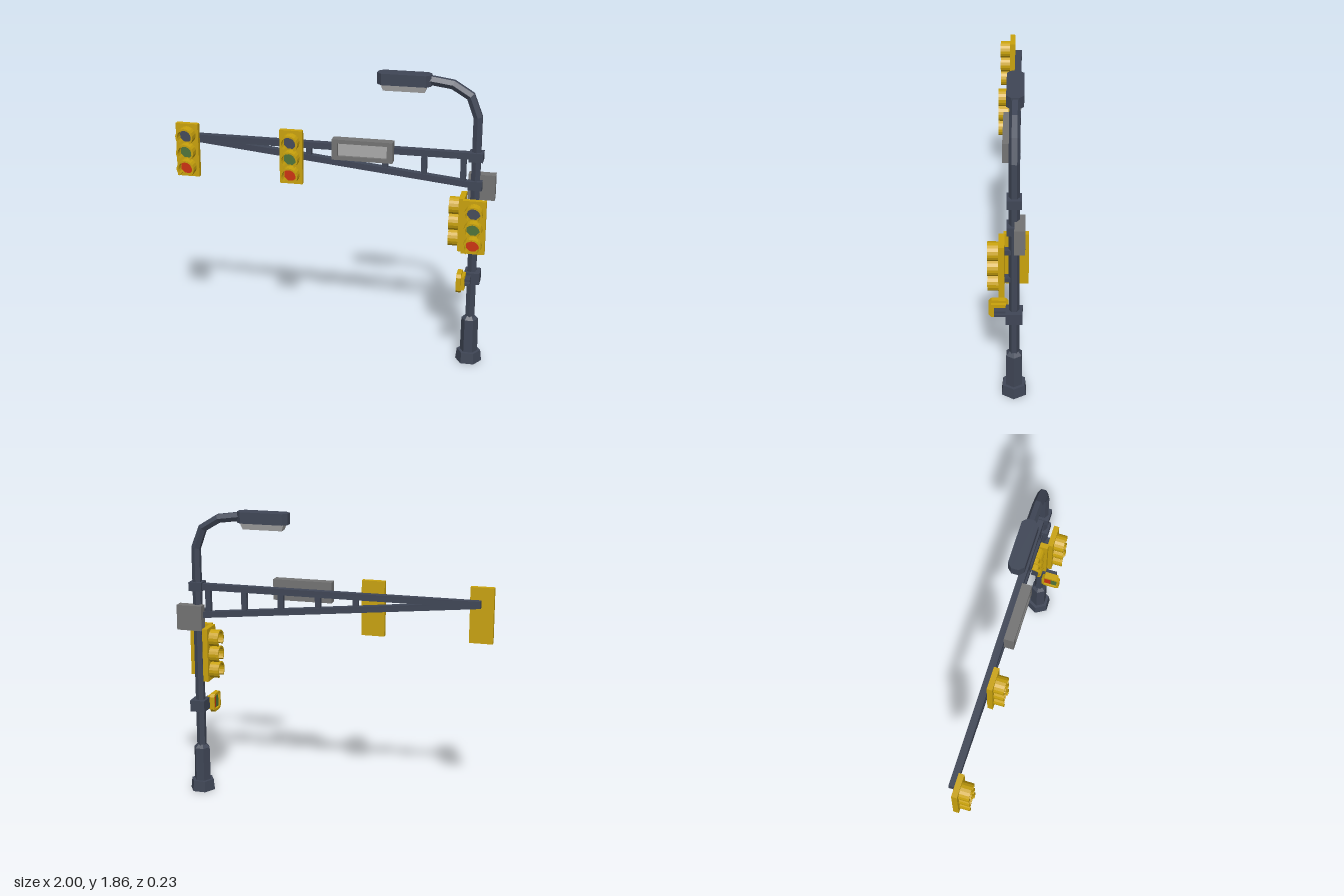
import * as THREE from 'three';

const mat = (color) => new THREE.MeshStandardMaterial({ color, flatShading: true });
const DARK = mat(0x3f4656), YELLOW = mat(0xc9a20c), GREY = mat(0x737373), PALE = mat(0xaaaaaa);
const RED = mat(0xcc3311), GREEN = mat(0x50743a), OFF = mat(0x454b5a);
const PX = 0.88, PZ = -0.035; // pole axis

function add(parent, name, geometry, material, x = 0, y = 0, z = 0) {
  const mesh = new THREE.Mesh(geometry, material);
  mesh.name = name;
  mesh.position.set(x, y, z);
  parent.add(mesh);
  return mesh;
}

// Box given by its limits on each axis
function box(parent, name, material, [x0, x1], [y0, y1], [z0, z1]) {
  return add(parent, name, new THREE.BoxGeometry(x1 - x0, y1 - y0, z1 - z0), material,
    (x0 + x1) / 2, (y0 + y1) / 2, (z0 + z1) / 2);
}

// Rectangle with cut corners, centred on the origin
function cutRect(w, h, c) {
  const a = w / 2, b = h / 2;
  return new THREE.Shape([[-a + c, -b], [a - c, -b], [a, -b + c], [a, b - c],
    [a - c, b], [-a + c, b], [-a, b - c], [-a, -b + c]].map(p => new THREE.Vector2(...p)));
}

const extrude = (shape, depth, curveSegments = 8) =>
  new THREE.ExtrudeGeometry(shape, { depth, bevelEnabled: false, curveSegments });

// Polyline that keeps its corners when swept
class CornerPath extends THREE.Curve {
  constructor(points) { super(); this.points = points; }
  getPointAt(t) { return this.points[Math.round(t * (this.points.length - 1))].clone(); }
  getPoint(t) { return this.getPointAt(t); }
  getTangentAt(t) {
    const p = this.points, i = Math.round(t * (p.length - 1)), sum = new THREE.Vector3();
    if (i > 0) sum.add(p[i].clone().sub(p[i - 1]).normalize());
    if (i < p.length - 1) sum.add(p[i + 1].clone().sub(p[i]).normalize());
    return sum.normalize();
  }
}

// Three-lamp signal facing +z, back of the housing at z = 0
function signalHead(name) {
  const g = new THREE.Group();
  g.name = name;
  box(g, 'housing', YELLOW, [-0.072, 0.072], [-0.172, 0.172], [0, 0.034]);
  const from = -0.27 * Math.PI, to = 1.27 * Math.PI;
  const hood = new THREE.Shape();
  hood.absarc(0, 0, 0.056, from, to, false);
  hood.absarc(0, 0, 0.045, to, from, true);
  const hoodGeo = extrude(hood, 0.064, 7);
  const lensGeo = new THREE.CylinderGeometry(0.043, 0.043, 0.012, 8).rotateX(Math.PI / 2).rotateZ(Math.PI / 8);
  const rimGeo = new THREE.CylinderGeometry(0.054, 0.054, 0.008, 8).rotateX(Math.PI / 2).rotateZ(Math.PI / 8);
  [OFF, GREEN, RED].forEach((m, i) => {
    const y = 0.1 - i * 0.104;
    add(g, 'lampRim', rimGeo, YELLOW, 0, y, 0.037);
    add(g, 'lens', lensGeo, m, 0, y, 0.041);
    add(g, 'visor', hoodGeo, YELLOW, 0, y, 0.033);
  });
  return g;
}

function createPole(root) {
  const hex = (rt, rb, h) => new THREE.CylinderGeometry(rt, rb, h, 6).rotateY(Math.PI / 2);
  add(root, 'poleFoot', hex(0.075, 0.083, 0.07), DARK, PX, 0.035, PZ);
  add(root, 'poleSleeve', hex(0.053, 0.055, 0.22), DARK, PX, 0.18, PZ);
  add(root, 'sleeveShoulder', hex(0.03, 0.053, 0.022), DARK, PX, 0.301, PZ);
  const path = [[PX, 0.28], [PX, 1.61], [0.832, 1.737], [0.725, 1.802], [0.58, 1.822]]
    .map(([x, y]) => new THREE.Vector3(x, y, PZ));
  add(root, 'pole', new THREE.TubeGeometry(new CornerPath(path), path.length - 1, 0.031, 6), DARK);
}

function createStreetLamp(root) {
  const g = new THREE.Group();
  g.name = 'streetLamp';
  g.position.set(0.433, 1.785, PZ);
  add(g, 'lampBody', extrude(cutRect(0.326, 0.1, 0.028), 0.07).rotateX(-Math.PI / 2), DARK);
  // Lens narrows towards its lower face
  const lens = new THREE.BoxGeometry(0.28, 0.04, 0.076);
  const p = lens.attributes.position;
  for (let i = 0; i < p.count; i++)
    if (p.getY(i) < 0) p.setXYZ(i, p.getX(i) * 0.9, p.getY(i), p.getZ(i) * 0.75);
  add(g, 'lampLens', lens, PALE, 0, -0.019, 0);
  root.add(g);
}

function createArm(root) {
  const z = -0.041, left = -0.925, topY = 1.366;
  const lowY = (x) => 1.362 + (x - left) * (1.18 - 1.362) / (PX - left);
  box(root, 'upperBeam', DARK, [left, PX], [topY - 0.02, topY + 0.02], [z - 0.022, z + 0.022]);
  const length = Math.hypot(PX - left, lowY(PX) - lowY(left));
  const beam = add(root, 'lowerBeam', new THREE.BoxGeometry(length, 0.038, 0.043), DARK,
    (left + PX) / 2, lowY((left + PX) / 2), z);
  beam.rotation.z = Math.atan2(lowY(PX) - lowY(left), PX - left);
  for (let i = 0; i < 5; i++) {
    const x = 0.803 - i * 0.24;
    box(root, 'strut', DARK, [x - 0.017, x + 0.017], [lowY(x), topY], [z - 0.016, z + 0.016]);
  }
  for (const y of [topY, 1.187])
    box(root, 'armCollar', DARK, [0.837, 0.923], [y - 0.028, y + 0.028], [-0.078, 0.008]);
}

function createSign(root) {
  const frame = cutRect(0.376, 0.13, 0);
  frame.holes.push(cutRect(0.306, 0.08, 0));
  add(root, 'signFrame', extrude(frame, 0.022), GREY, 0.192, 1.37, 0.02);
  box(root, 'signBack', GREY, [0.004, 0.38], [1.305, 1.435], [-0.02, 0.02]);
  box(root, 'signPanel', PALE, [0.04, 0.344], [1.331, 1.409], [0.018, 0.027]);
}

function createCrossingSignal(root) {
  box(root, 'crossingCollar', DARK, [0.837, 0.933], [0.543, 0.617], [-0.085, 0.015]);
  for (const y of [0.568, 0.594])
    box(root, 'crossingBracket', DARK, [0.846, 0.882], [y - 0.008, y + 0.008], [0, 0.082]);
  // Built facing +z, then turned to face -x
  const g = new THREE.Group();
  g.name = 'crossingSignal';
  g.position.set(0.85, 0.58, 0.057);
  g.rotation.y = -Math.PI / 2;
  const frame = cutRect(0.118, 0.12, 0.018);
  frame.holes.push(cutRect(0.086, 0.088, 0));
  add(g, 'crossingFrame', extrude(frame, 0.03), YELLOW, 0, 0, 0.02);
  box(g, 'crossingBack', YELLOW, [-0.044, 0.044], [-0.044, 0.044], [0, 0.034]);
  box(g, 'crossingStop', RED, [-0.043, 0], [-0.043, 0.043], [0.03, 0.039]);
  box(g, 'crossingGo', GREEN, [0, 0.043], [-0.043, 0.043], [0.03, 0.039]);
  root.add(g);
}

export function createModel() {
  const root = new THREE.Group();
  root.name = 'trafficLightPole';
  createPole(root);
  createStreetLamp(root);
  createArm(root);
  createSign(root);
  createCrossingSignal(root);
  box(root, 'controlBox', GREY, [0.835, 1], [1.087, 1.248], [-0.097, -0.036]);

  // Signals on the arm
  for (const x of [-0.928, -0.26]) {
    const s = signalHead('armSignal');
    s.position.set(x, 1.291, -0.02);
    root.add(s);
  }
  // Signals on the pole, one to the front and one to the side
  const front = signalHead('poleFrontSignal');
  front.position.set(0.888, 0.935, 0.02);
  const side = signalHead('poleSideSignal');
  side.position.set(0.824, 0.935, -0.046);
  side.rotation.y = -Math.PI / 2;
  root.add(front, side);
  for (const y of [0.84, 1.03]) {
    box(root, 'frontSignalMount', DARK, [PX - 0.02, PX + 0.02], [y - 0.015, y + 0.015], [PZ, 0.022]);
    box(root, 'sideSignalMount', DARK, [0.822, PX], [y - 0.015, y + 0.015], [PZ - 0.02, PZ + 0.02]);
  }
  return root;
}
